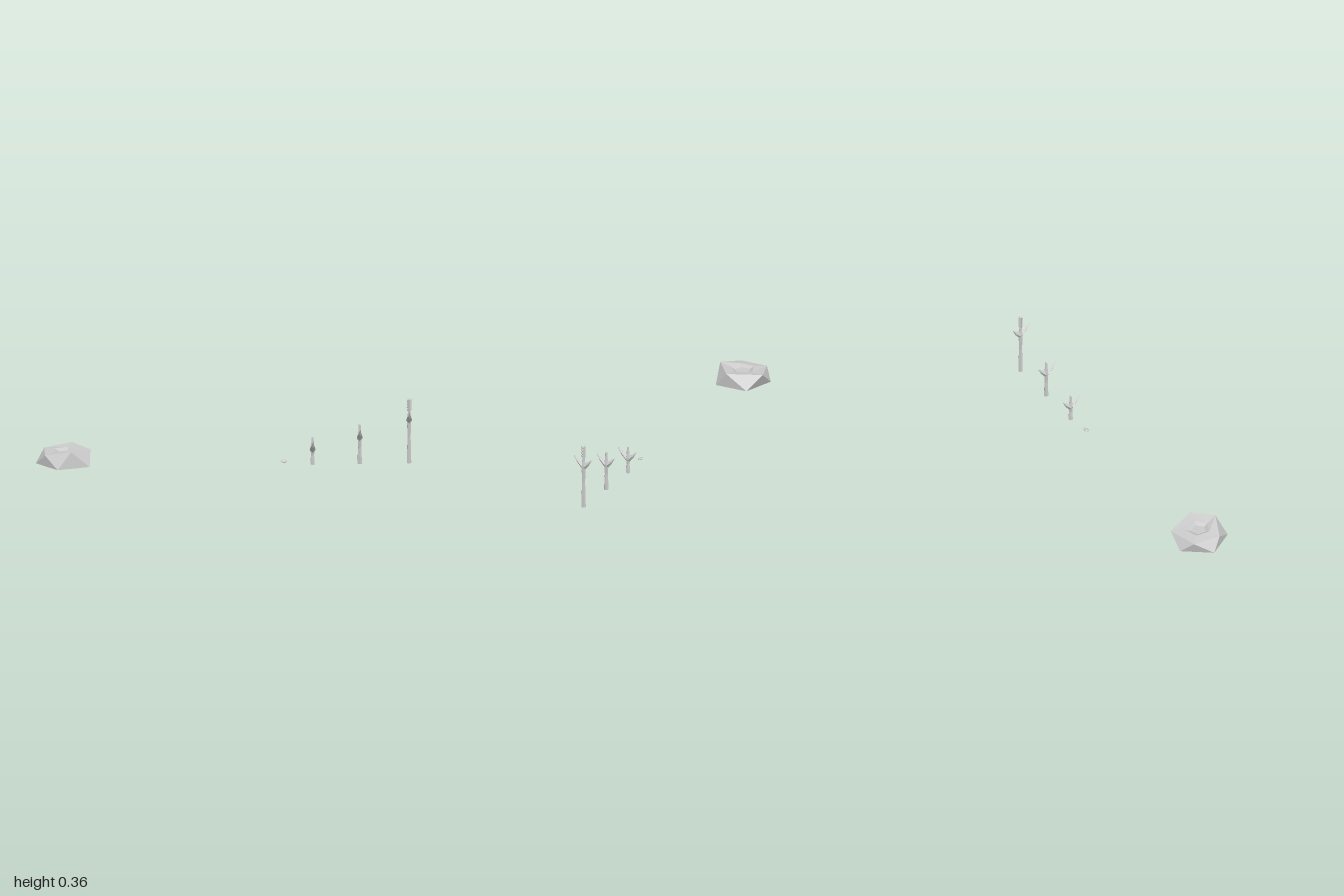
import * as THREE from 'three';

const material = new THREE.MeshStandardMaterial({ color: 0xcccccc, flatShading: true, side: THREE.DoubleSide });

function addMesh(parent, name, geometry) {
  const mesh = new THREE.Mesh(geometry, material);
  mesh.name = name;
  parent.add(mesh);
  return mesh;
}

// Skin between rings of [x, y, z] points with equal counts; both ends are capped
function loft(rings) {
  const n = rings[0].length;
  const index = [];
  for (let r = 0; r < rings.length - 1; r++) {
    for (let i = 0; i < n; i++) {
      const a = r * n + i, b = r * n + (i + 1) % n;
      index.push(a, b, a + n, b, b + n, a + n);
    }
  }
  const last = (rings.length - 1) * n;
  for (let i = 1; i < n - 1; i++) {
    index.push(0, i + 1, i, last, last + i, last + i + 1);
  }
  const geometry = new THREE.BufferGeometry();
  geometry.setAttribute('position', new THREE.Float32BufferAttribute(rings.flat(2), 3));
  geometry.setIndex(index);
  geometry.computeVertexNormals();
  return geometry;
}

// Five-sided soil mound with a shallow planting hollow
function createMound() {
  const cx = -0.845;
  const base = [0, 1, 2, 3, 4].map((i) => {
    const a = Math.PI + (i * Math.PI * 2) / 5;
    return [cx + 0.155 * Math.cos(a), 0.03, -0.155 * Math.sin(a)];
  });
  const rim = [
    [-0.955, 0.088, 0.06], [-0.82, 0.12, 0.116], [-0.712, 0.11, 0.025],
    [-0.8, 0.104, -0.148], [-0.95, 0.09, -0.095],
  ];
  const inset = (k, y) => rim.map((p) => [cx + (p[0] - cx) * k, y, p[2] * k]);
  return loft([base, rim, inset(0.5, 0.098), inset(0.32, 0.086)]);
}

// Pointed leaf growing out along +z, with its tip at y = 0
function createLeaf() {
  const section = (z, width, top, bottom) => {
    const middle = (top + bottom) / 2;
    return [[width, middle, z], [0, top, z], [-width, middle, z], [0, bottom, z]];
  };
  return loft([
    section(0.004, 0.016, -0.034, -0.085),
    section(0.02, 0.012, -0.027, -0.065),
    section(0.04, 0.007, -0.016, -0.042),
    section(0.062, 0, 0, 0),
  ]);
}

// Stem with a flared collar, narrow neck and two opposite leaves
function createStalk(name, x, leafTip, top) {
  const stalk = new THREE.Group();
  stalk.name = name;
  stalk.position.x = x;

  const collar = leafTip - 0.055;
  const profile = [
    [0, 0], [0.013, 0.002], [0.012, collar * 0.3], [0.009, collar * 0.6],
    [0.013, collar], [0.008, collar + 0.025], [0.006, top - 0.004], [0, top],
  ].map(([r, y]) => new THREE.Vector2(r, y));
  addMesh(stalk, 'stem', new THREE.LatheGeometry(profile, 6));

  const front = addMesh(stalk, 'frontLeaf', createLeaf());
  front.position.y = leafTip;
  const back = addMesh(stalk, 'backLeaf', createLeaf());
  back.rotation.y = Math.PI;
  back.scale.set(0.9, 0.85, 0.82);
  back.position.y = leafTip - 0.014;
  return stalk;
}

// Grain head: four tiers of small kernels leaning outward
function createGrainHead() {
  const head = new THREE.Group();
  head.name = 'grainHead';
  for (let tier = 0; tier < 4; tier++) {
    for (let side = 0; side < 4; side++) {
      const pivot = new THREE.Group();
      pivot.name = 'kernelPivot';
      pivot.rotation.y = (side * Math.PI) / 2;
      head.add(pivot);
      const kernel = addMesh(pivot, 'kernel', new THREE.ConeGeometry(0.006, 0.021, 4));
      kernel.position.set(0, 0.298 + tier * 0.016, 0.009);
      kernel.rotation.x = 0.35;
    }
  }
  return head;
}

export function createModel() {
  const model = new THREE.Group();
  model.name = 'cropGrowthStages';

  addMesh(model, 'soilMound', createMound());

  const seed = addMesh(model, 'seed', new THREE.IcosahedronGeometry(1, 1));
  seed.scale.set(0.02, 0.006, 0.013);
  seed.position.set(0.316, 0.023, 0.004);
  seed.rotation.x = 0.2;

  model.add(createStalk('youngStalk', 0.468, 0.143, 0.155));
  model.add(createStalk('middleStalk', 0.718, 0.205, 0.22));
  const ripe = createStalk('ripeStalk', 0.98, 0.297, 0.352);
  ripe.add(createGrainHead());
  model.add(ripe);

  return model;
}
